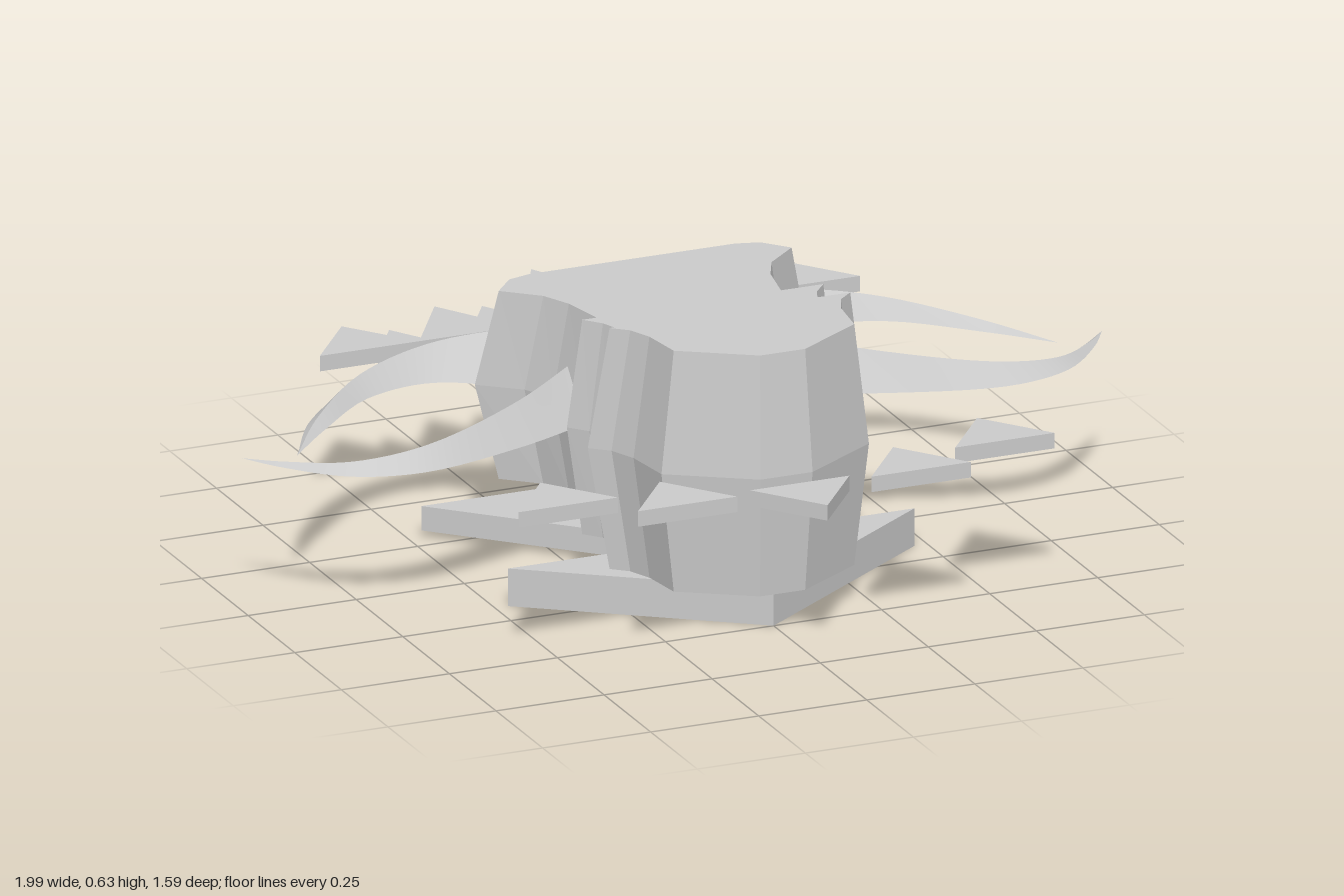
import * as THREE from 'three';
import { mergeGeometries } from 'three/addons/utils/BufferGeometryUtils.js';

const material = new THREE.MeshStandardMaterial({ color: 0xcccccc, flatShading: true });
const hornMaterial = new THREE.MeshStandardMaterial({ color: 0xcccccc, side: THREE.DoubleSide });

// Flat outline of [x, z] points raised from y0 to y1
function slab(points, y0, y1, steps = 1) {
  const shape = new THREE.Shape(points.map(([x, z]) => new THREE.Vector2(x, z)));
  const geo = new THREE.ExtrudeGeometry(shape, { depth: y1 - y0, bevelEnabled: false, steps });
  return geo.rotateX(Math.PI / 2).translate(0, y1, 0);
}

// Mirrored slab, widest at mid height; top and bottom shrink toward (0, cz)
function headSegment(half, y0, y1, sx, sz, cz) {
  const outline = [...half, ...half.map(([x, z]) => [-x, z]).reverse()];
  const geo = slab(outline, y0, y1, 2);
  const p = geo.attributes.position;
  const mid = (y0 + y1) / 2;
  for (let i = 0; i < p.count; i++) {
    if (Math.abs(p.getY(i) - mid) > 0.01) {
      p.setX(i, p.getX(i) * sx);
      p.setZ(i, cz + (p.getZ(i) - cz) * sz);
    }
  }
  geo.computeVertexNormals();
  return geo;
}

// Smooth ribbon between two rows of points
function strip(a, b) {
  const pos = [], index = [];
  a.forEach((p, i) => {
    pos.push(...p.toArray(), ...b[i].toArray());
    if (i) {
      const k = 2 * i;
      index.push(k - 2, k, k - 1, k, k + 1, k - 1);
    }
  });
  const geo = new THREE.BufferGeometry();
  geo.setAttribute('position', new THREE.Float32BufferAttribute(pos, 3));
  geo.setIndex(index);
  geo.computeVertexNormals();
  return geo;
}

// Tapering horn: flat underside, ridge on top between the two edge curves
function horn(front, back, side) {
  const N = 28, base = 0.34;
  const row = (pts) => new THREE.CatmullRomCurve3(
    pts.map(([x, z]) => new THREE.Vector3(side * x, base, z))).getPoints(N);
  const f = row(front), b = row(back);
  const ridge = f.map((p, i) => {
    const m = p.clone().lerp(b[i], 0.5);
    const tip = Math.abs(f[N].x), root = Math.abs(f[0].x + b[0].x) / 2;
    m.y = base + 0.11 * Math.max(0, (tip - Math.abs(m.x)) / (tip - root));
    return m;
  });
  const faces = [[f, ridge], [ridge, b], [b, f]];
  return mergeGeometries(faces.map(([p, q]) => (side > 0 ? strip(p, q) : strip(q, p))));
}

export function createModel() {
  const model = new THREE.Group();
  const add = (name, geo, mat = material) => {
    const mesh = new THREE.Mesh(geo, mat);
    mesh.name = name;
    model.add(mesh);
  };

  // Head in three stepped segments: skull, cheeks, muzzle
  add('skull', headSegment([
    [0.27, -0.285], [0.33, -0.27], [0.385, -0.21], [0.3, -0.14],
    [0.265, -0.07], [0.24, 0.05], [0.235, 0.14]], 0.15, 0.575, 0.88, 0.94, 0.14));
  add('cheeks', headSegment([
    [0.31, 0.11], [0.275, 0.15], [0.255, 0.2], [0.25, 0.28]], 0.12, 0.605, 0.9, 0.94, 0.28));
  add('muzzle', headSegment([
    [0.32, 0.245], [0.28, 0.28], [0.255, 0.34], [0.24, 0.455], [0.06, 0.57]],
  0.09, 0.635, 0.87, 0.87, 0.405));

  // Two pairs of curved horns
  for (const side of [1, -1]) {
    const label = side > 0 ? 'left' : 'right';
    add(label + 'BackHorn', horn(
      [[0.3, -0.2], [0.37, -0.28], [0.46, -0.315], [0.6, -0.28], [0.76, -0.14], [0.88, -0.015]],
      [[0.07, -0.29], [0.22, -0.37], [0.41, -0.405], [0.6, -0.355], [0.77, -0.2], [0.88, 0.02]]
        .map(([x, z], i) => (i === 5 ? [0.88, -0.015] : [x, z])), side), hornMaterial);
    add(label + 'FrontHorn', horn(
      [[0.2, 0.03], [0.43, 0.13], [0.68, 0.19], [0.83, 0.15], [0.94, 0.04], [0.995, -0.045]],
      [[0.2, -0.16], [0.41, 0.02], [0.64, 0.12], [0.8, 0.11], [0.92, 0.025], [0.995, -0.045]],
      side), hornMaterial);
  }

  // Two triangular plates under the head
  add('frontBasePlate', slab([[-0.47, 0.165], [0.47, 0.165], [0, 0.5]], 0, 0.085));
  add('rearBasePlate', slab([[-0.47, -0.3], [0.47, -0.3], [0, 0.165]], 0.015, 0.07));

  // Floating triangular spikes
  const spike = (name, x, half, zBase, zTip, y0 = 0.335, y1 = 0.37) =>
    add(name, slab([[x - half, zBase], [x + half, zBase], [x, zTip]], y0, y1));
  spike('centreCrownSpike', 0, 0.165, -0.485, -0.8);
  spike('chinSpike', 0, 0.115, 0.64, 0.79);
  for (const s of [1, -1]) {
    spike('innerCrownSpike', s * 0.28, 0.115, -0.485, -0.67);
    spike('outerCrownSpike', s * 0.51, 0.115, -0.485, -0.635);
    spike('lowInnerCrownSpike', s * 0.17, 0.115, -0.485, -0.67, 0.32, 0.355);
    spike('lowOuterCrownSpike', s * 0.41, 0.08, -0.485, -0.612, 0.32, 0.355);
    spike('innerFrontSpike', s * 0.27, 0.115, 0.665, 0.515);
    spike('outerFrontSpike', s * 0.505, 0.115, 0.57, 0.42);
  }
  return model;
}
